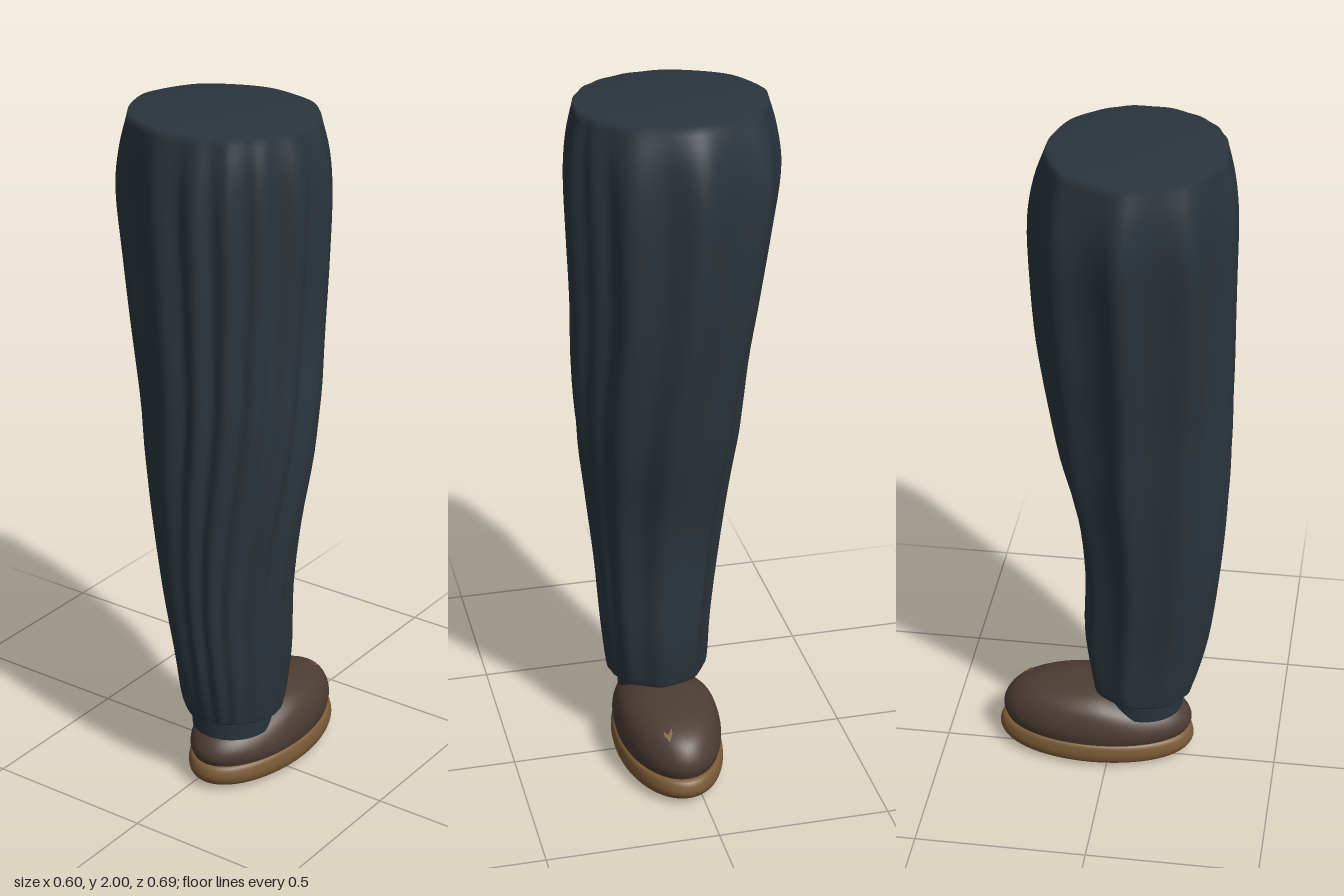
import * as THREE from 'three';

const { smoothstep } = THREE.MathUtils;

const material = (name, color) => {
  const m = new THREE.MeshStandardMaterial({ color });
  m.name = name;
  return m;
};

// Trouser outline by height: y, min x, max x, min z, max z, fold depth
const SECTIONS = [
  [0.25, -0.07, 0.16, -0.03, 0.215, 0.0],
  [0.232, -0.092, 0.187, -0.05, 0.238, 0.02],
  [0.25, -0.105, 0.198, -0.065, 0.25, 0.05],
  [0.4, -0.115, 0.213, -0.087, 0.286, 0.08],
  [0.6, -0.142, 0.226, -0.084, 0.311, 0.09],
  [0.8, -0.169, 0.248, -0.104, 0.327, 0.1],
  [1.0, -0.198, 0.274, -0.152, 0.337, 0.11],
  [1.2, -0.219, 0.288, -0.184, 0.341, 0.12],
  [1.4, -0.251, 0.289, -0.208, 0.345, 0.12],
  [1.6, -0.281, 0.297, -0.22, 0.346, 0.12],
  [1.78, -0.304, 0.302, -0.222, 0.346, 0.11],
  [1.9, -0.291, 0.292, -0.203, 0.334, 0.07],
  [2.0, -0.262, 0.268, -0.167, 0.311, 0.02],
];

// Cloth ridges: direction in degrees from +x towards +z, reach, half width
const RIDGES = [
  [-29, 0.7, 9], [-12, 1.1, 9], [14, 0.95, 9], [38, 1, 8], [55, 1.15, 8], [73, 1.1, 8],
  [96, 1, 11], [139, 1, 11], [180, 1, 10], [222, 1, 11], [266, 1, 12], [305, 1, 12],
];

function ridgeAt(deg) {
  let best = 0;
  for (const [dir, reach, width] of RIDGES) {
    const d = Math.abs(((deg - dir + 900) % 360) - 180);
    best = Math.max(best, reach * Math.exp(-((d / width) ** 2)));
  }
  return best;
}

function trouserGeometry() {
  const N = 120;
  const STEPS = 4;
  const rows = (SECTIONS.length - 1) * STEPS;
  const outline = new THREE.CubicInterpolant(SECTIONS.map((_, i) => i), SECTIONS.flat(), 6);
  const pos = [];
  const idx = [];
  for (let j = 0; j <= rows; j++) {
    const [y, x0, x1, z0, z1, depth] = outline.evaluate(j / STEPS);
    const twist = 12 * (1 - smoothstep(y, 0.6, 1.5)); // folds swing round below the knee
    for (let i = 0; i < N; i++) {
      const a = (i / N) * Math.PI * 2;
      const k = 1 - depth * (1 - ridgeAt((i / N) * 360 - twist));
      pos.push(
        (x0 + x1) / 2 + ((x1 - x0) / 2) * k * Math.cos(a), y,
        (z0 + z1) / 2 + ((z1 - z0) / 2) * k * Math.sin(a));
    }
  }
  for (let j = 0; j < rows; j++) {
    for (let i = 0; i < N; i++) {
      const a = j * N + i;
      const b = j * N + ((i + 1) % N);
      idx.push(a, a + N, b, b, a + N, b + N);
    }
  }
  // Closed top, sharing the rim so the shading rolls over softly
  const top = rows * N;
  const centre = pos.length / 3;
  pos.push(0.0025, 2, 0.072);
  for (let i = 0; i < N; i++) idx.push(centre, top + ((i + 1) % N), top + i);
  const g = new THREE.BufferGeometry();
  g.setAttribute('position', new THREE.Float32BufferAttribute(pos, 3));
  g.setIndex(idx);
  g.computeVertexNormals();
  return g;
}

// Smooth solid of revolution from a few [radius, height] points
function roundLathe(points) {
  const curve = new THREE.CatmullRomCurve3(points.map(([r, y]) => new THREE.Vector3(r, y, 0)), false, 'centripetal');
  const pts = curve.getPoints(32).map((p) => new THREE.Vector2(Math.max(p.x, 0), p.y));
  return new THREE.LatheGeometry(pts, 64);
}

// Shoe upper: oval dome, high over the instep and lower at the heel
const SHOE = { x: 0.048, z: -0.045, rx: 0.152, rz: 0.287, base: 0.072 };
const upperHeight = (z) => 0.158 - 0.035 * smoothstep(z, -0.06, 0.14);

function upperGeometry() {
  const g = roundLathe([[0.95, 0], [1, 0.25], [0.97, 0.5], [0.86, 0.74], [0.65, 0.9], [0.35, 0.98], [0, 1]]);
  const p = g.attributes.position;
  for (let i = 0; i < p.count; i++) {
    const z = SHOE.z + p.getZ(i) * SHOE.rz;
    p.setXYZ(i, SHOE.x + p.getX(i) * SHOE.rx, SHOE.base + p.getY(i) * upperHeight(z), z);
  }
  g.computeVertexNormals();
  return g;
}

// Small chevron lying on the toe
function chevronGeometry() {
  const pts = [[0.092, -0.281], [0.08, -0.262], [0.079, -0.245], [0.092, -0.262], [0.104, -0.248], [0.103, -0.263]];
  const g = new THREE.BufferGeometry();
  g.setAttribute('position', new THREE.Float32BufferAttribute(
    pts.flatMap(([x, z]) => [x, 0.199 + (z + 0.263) * 0.6 - (x - 0.092) * 0.25, z]), 3));
  g.setIndex([0, 1, 3, 1, 2, 3, 0, 3, 5, 3, 4, 5]);
  g.computeVertexNormals();
  return g;
}

export function createModel() {
  const group = new THREE.Group();
  group.name = 'trouserLegAndShoe';
  const cloth = material('dark blue cloth', 0x2b353d);
  const leather = material('brown leather', 0x4d3d34);
  const rubber = material('tan sole', 0x7b5b36);
  rubber.side = THREE.DoubleSide;
  const dark = material('dark sole pad', 0x493a29);

  const add = (name, geometry, mat, parent = group) => {
    const mesh = new THREE.Mesh(geometry, mat);
    mesh.name = name;
    parent.add(mesh);
    return mesh;
  };

  add('trouserLeg', trouserGeometry(), cloth);

  // Ankle between hem and shoe
  const ankle = add('ankle', new THREE.CylinderGeometry(0.122, 0.116, 0.1, 48), cloth);
  ankle.position.set(0.045, 0.212, 0.098);

  const shoe = new THREE.Group();
  shoe.name = 'shoe';
  group.add(shoe);
  add('shoeUpper', upperGeometry(), leather, shoe);

  // Oval sole with a rounded edge
  const sole = add('sole', roundLathe([[0, 0.012], [0.5, 0.012], [0.88, 0.014], [0.97, 0.025], [1, 0.046],
    [0.98, 0.07], [0.92, 0.081], [0.5, 0.082], [0, 0.082]]), rubber, shoe);
  sole.scale.set(0.157, 1, 0.297);
  sole.position.set(0.048, 0, -0.0475);

  // Pad under the sole
  const pad = add('solePad', new THREE.CylinderGeometry(0.05, 0.042, 0.014, 32), dark, shoe);
  pad.scale.z = 1.25;
  pad.position.set(0.048, 0.007, -0.048);

  add('toeChevron', chevronGeometry(), rubber, shoe);
  return group;
}
